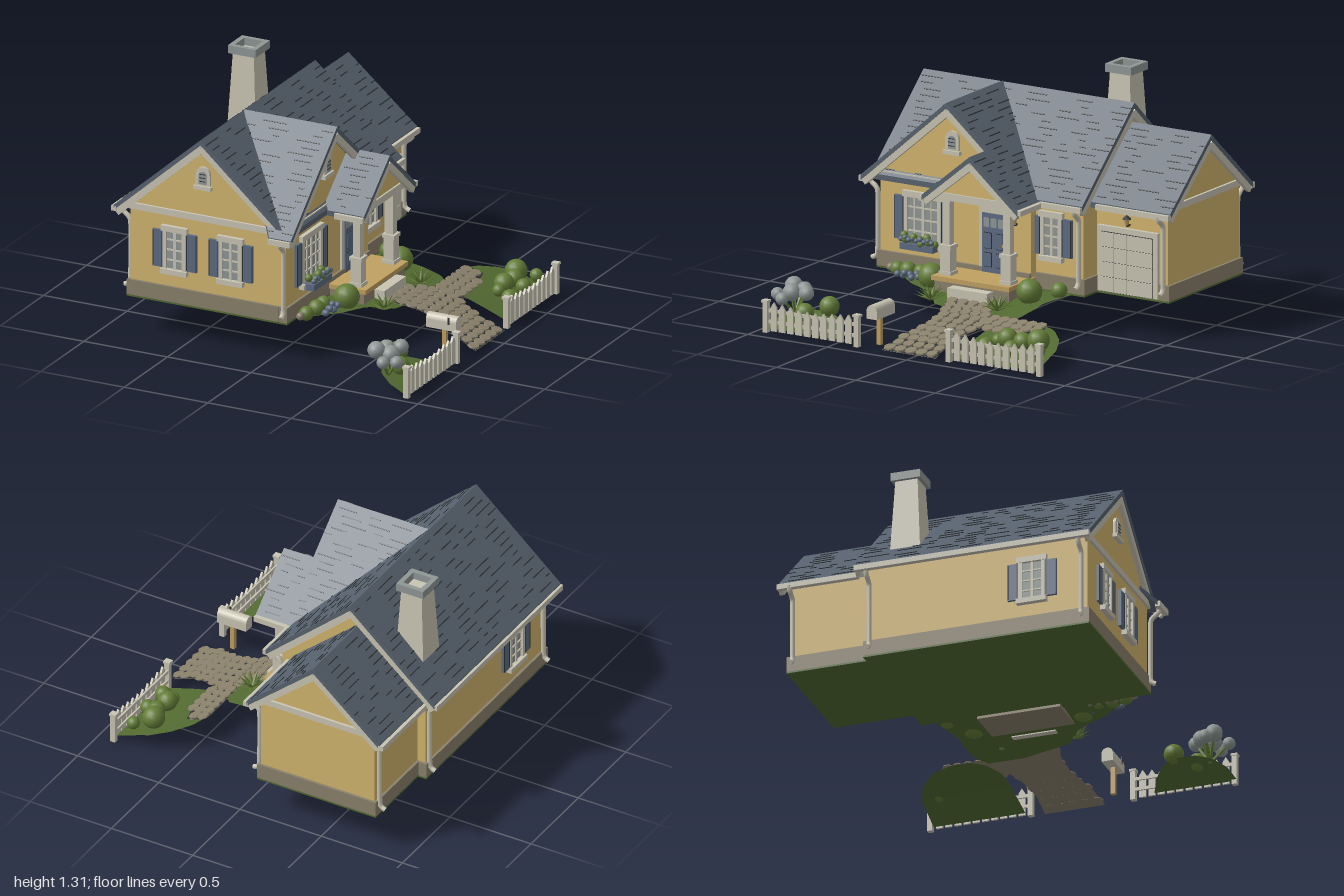
import * as THREE from 'three';
import { mergeGeometries } from 'three/addons/utils/BufferGeometryUtils.js';

const paint = (name, color) => Object.assign(new THREE.MeshStandardMaterial({ color }), { name });
const V = (x, y, z) => new THREE.Vector3(x, y, z);

export function createModel() {
  const root = new THREE.Group();
  root.name = 'cottage';
  const M = {
    wall: paint('yellow siding', 0xd2b56e), trim: paint('cream trim', 0xc9c5b4), roof: paint('slate roof', 0x58636f),
    stone: paint('stone', 0x8a816b), grass: paint('grass', 0x526a31), leaf: paint('leaves', 0x647d38),
    blue: paint('slate blue', 0x5d6c82), dark: paint('dark lines', 0x2e3235), wood: paint('wood', 0xc0a060),
    grey: paint('pale grey', 0x8f9896),
  };
  M.grass.side = M.stone.side = THREE.DoubleSide;
  let seed = 7;
  const rnd = () => (seed = (seed * 16807) % 2147483647) / 2147483647;

  // --- helpers
  const add = (name, geo, mat, parent = root) => {
    const m = new THREE.Mesh(geo, mat);
    m.name = name;
    parent.add(m);
    return m;
  };
  const box = (name, mat, x0, x1, y0, y1, z0, z1, parent) =>
    add(name, new THREE.BoxGeometry(x1 - x0, y1 - y0, z1 - z0)
      .translate((x0 + x1) / 2, (y0 + y1) / 2, (z0 + z1) / 2), mat, parent);
  const beam = (name, mat, a, b, w, h) => {
    const m = add(name, new THREE.BoxGeometry(w, h, a.distanceTo(b)), mat);
    m.position.copy(a).lerp(b, 0.5);
    m.lookAt(b);
    return m;
  };
  const extrude = (pts, depth) => new THREE.ExtrudeGeometry(
    new THREE.Shape(pts.map(p => new THREE.Vector2(...p))), { depth, bevelEnabled: false });
  const ball = (name, mat, r, x, y, z) => {
    const m = add(name, new THREE.SphereGeometry(r, 14, 10), mat);
    m.position.set(x, y, z);
  };

  // Roof plane: ridge A-B, eave D-C, with dark shingle dashes on top
  function roofPlane(name, A, B, C, D, t = 0.03) {
    const n = B.clone().sub(A).cross(D.clone().sub(A)).normalize();
    let q = [A, B, C, D];
    if (n.y < 0) { q = [D, C, B, A]; n.negate(); }
    const low = q.map(p => p.clone().setY(p.y - t));
    const pos = [];
    const quad = (a, b, c, d) => [a, b, c, a, c, d].forEach(p => pos.push(p.x, p.y, p.z));
    quad(...q);
    quad(low[3], low[2], low[1], low[0]);
    for (let i = 0; i < 4; i++) { const j = (i + 1) % 4; quad(q[j], q[i], low[i], low[j]); }
    const g = new THREE.BufferGeometry();
    g.setAttribute('position', new THREE.Float32BufferAttribute(pos, 3));
    g.computeVertexNormals();
    add(name, g, M.roof);
    const dashes = [], rows = Math.round(A.distanceTo(D) / 0.04);
    for (let r = 1; r < rows; r++) {
      const a = A.clone().lerp(D, r / rows), b = B.clone().lerp(C, r / rows), len = a.distanceTo(b);
      for (let s = rnd() * 0.1; s < len - 0.03;) {
        const e = Math.min(len, s + 0.03 + rnd() * 0.12);
        const p = a.clone().lerp(b, (s + e) / 2 / len).addScaledVector(n, 0.001);
        const x = b.clone().sub(a).normalize();
        dashes.push(new THREE.BoxGeometry(e - s, 0.004, 0.006).applyMatrix4(
          new THREE.Matrix4().makeBasis(x, n, x.clone().cross(n)).setPosition(p)));
        s = e + 0.04 + rnd() * 0.2;
      }
    }
    if (dashes.length) add(name + 'Shingles', mergeGeometries(dashes), M.dark);
  }

  // --- walls and foundations
  add('mainWalls', extrude([[-0.85, 0.22], [0.03, 0.22], [0.03, 0.75], [-0.41, 1.14], [-0.85, 0.75]], 1.25)
    .translate(0, 0, -0.5), M.wall);
  add('wingWalls', extrude([[-0.748, 0.22], [0.2, 0.22], [0.2, 0.72], [-0.29, 1.14], [-0.748, 0.74]], 0.38)
    .rotateY(Math.PI / 2).translate(-0.3, 0, 0), M.wall);
  add('garageWalls', extrude([[-0.8, 0.22], [-0.1, 0.22], [-0.1, 0.725], [-0.45, 1.02], [-0.8, 0.725]], 0.5)
    .translate(0, 0, -0.95), M.wall);
  const bases = [[-0.865, 0.045, -0.515, 0.765], [-0.2, 0.095, -0.2, 0.764], [-0.815, -0.085, -0.965, -0.4]];
  for (const [x0, x1, z0, z1] of bases) {
    box('foundation', M.stone, x0, x1, 0.215, 0.3, z0, z1);
    box('lawnUnderHouse', M.grass, x0, x1, 0.205, 0.215, z0, z1);
  }

  // --- roofs
  for (const [x, side] of [[0.11, 'Front'], [-0.93, 'Back']])
    roofPlane('mainRoof' + side, V(-0.41, 1.18, 0.79), V(-0.41, 1.18, -0.54), V(x, 0.72, -0.54), V(x, 0.72, 0.79));
  for (const [x, side] of [[-0.04, 'Front'], [-0.86, 'Back']])
    roofPlane('garageRoof' + side, V(-0.45, 1.06, -0.5), V(-0.45, 1.06, -1), V(x, 0.71, -1), V(x, 0.71, -0.5));
  roofPlane('wingRoofLeft', V(0.15, 1.185, 0.29), V(-0.41, 1.185, 0.29), V(0.02, 0.715, 0.83), V(0.15, 0.715, 0.83));
  roofPlane('wingRoofRight', V(0.15, 1.185, 0.29), V(-0.41, 1.185, 0.29), V(0.11, 0.705, -0.275), V(0.15, 0.705, -0.275));
  roofPlane('porchRoofRight', V(0.15, 0.963, 0.03), V(0.33, 0.963, 0.03), V(0.33, 0.705, -0.275), V(0.15, 0.705, -0.275));
  roofPlane('porchRoofLeft', V(0.08, 0.963, 0.03), V(0.33, 0.963, 0.03), V(0.33, 0.715, 0.33), V(0.08, 0.715, 0.33));

  // --- rake boards, bands, gutters
  const rake = (...p) => {
    for (let i = 0; i < 2; i++) beam('rakeBoard', M.trim, p[i].setY(p[i].y - 0.045), p[i + 1].clone().setY(p[i + 1].y - (i ? 0.045 : 0)), 0.02, 0.04);
  };
  const gable = (axis, at, c, y, h0, h1, e0, e1) => {
    const P = (u, v) => axis === 'z' ? V(u, v, at) : V(at, v, u);
    const peak = P(c, y - 0.05);
    beam('rakeBoard', M.trim, P(h0, e0 - 0.045), peak, 0.025, 0.045);
    beam('rakeBoard', M.trim, P(h1, e1 - 0.045), peak, 0.025, 0.045);
  };
  gable('z', 0.772, -0.41, 1.18, -0.92, 0.02, 0.725, 0.8);
  gable('z', -0.525, -0.41, 1.18, -0.92, 0.1, 0.725, 0.725);
  gable('z', -0.985, -0.45, 1.06, -0.85, -0.05, 0.72, 0.72);
  gable('x', 0.135, 0.29, 1.185, 0.82, -0.26, 0.725, 0.72);
  gable('x', 0.315, 0.03, 0.963, 0.32, -0.265, 0.725, 0.715);
  box('frontBand', M.trim, -0.86, 0.09, 0.705, 0.74, 0.745, 0.765);
  box('wingBand', M.trim, 0.07, 0.095, 0.705, 0.74, -0.2, 0.76);
  box('garageBand', M.trim, -0.81, -0.09, 0.7, 0.735, -0.965, -0.945);
  for (const [x, y, z0, z1] of [[-0.93, 0.705, -0.54, 0.79], [0.115, 0.705, -0.54, -0.28], [-0.865, 0.695, -1, -0.54], [-0.035, 0.695, -1, -0.54]])
    box('gutter', M.trim, x - 0.015, x + 0.015, y - 0.02, y + 0.01, z0, z1);
  for (const [x0, x1, z] of [[0.02, 0.15, 0.83], [0.16, 0.33, 0.335], [0.12, 0.33, -0.28]])
    box('gutter', M.trim, x0, x1, 0.68, 0.71, z - 0.014, z + 0.014);
  for (const [x, z, dx, dz] of [[-0.865, 0.72, -1, 0], [0.075, 0.77, 0, 1], [0.05, -0.48, 1, 0], [-0.08, -0.93, 1, 0],
    [-0.82, -0.93, -1, 0], [-0.865, -0.48, -1, 0]]) {
    const path = [[0.05, 0.69], [0.045, 0.665], [0, 0.62], [0, 0.29], [0.012, 0.26], [0.035, 0.25]].map(([o, y]) => V(x + dx * o, y, z + dz * o));
    add('downspout', new THREE.TubeGeometry(new THREE.CatmullRomCurve3(path, false, 'catmullrom', 0.2), 24, 0.014, 8), M.trim);
  }

  // --- chimney with an open cap
  add('chimney', new THREE.CylinderGeometry(0.063 * Math.SQRT2, 0.09 * Math.SQRT2, 0.51, 4).rotateY(Math.PI / 4).toNonIndexed()
    .translate(-0.69, 1.01, -0.31), M.trim).geometry.computeVertexNormals();
  const sq = r => [[-r, -r], [r, -r], [r, r], [-r, r]].map(p => new THREE.Vector2(...p));
  const cap = new THREE.Shape(sq(0.083));
  cap.holes.push(new THREE.Path(sq(0.055)));
  add('chimneyCap', new THREE.ExtrudeGeometry(cap, { depth: 0.045, bevelEnabled: false }).rotateX(-Math.PI / 2)
    .translate(-0.69, 1.262, -0.31), M.grey);

  // --- windows and vents, built facing +z and then turned
  const place = (name, x, y, z, turn) => {
    const g = new THREE.Group();
    g.name = name;
    g.position.set(x, y, z);
    g.rotation.y = turn;
    root.add(g);
    return g;
  };
  function windowUnit(x, y, z, turn, w, h, cols) {
    const g = place('window', x, y, z, turn), a = w / 2, b = h / 2;
    box('glass', M.grey, -a, a, -b, b, 0, 0.006, g);
    for (const s of [-1, 1]) {
      box('jamb', M.trim, s * a - 0.011, s * a + 0.011, -b, b, 0, 0.02, g);
      const c = s * (a + 0.043);
      box('shutter', M.blue, c - 0.03, c + 0.03, -b + 0.01, b - 0.01, 0, 0.016, g);
      for (const k of [-1, 1]) box('shutterGroove', M.dark, c + k * 0.026 - 0.002, c + k * 0.026 + 0.002, -b + 0.015, b - 0.015, 0, 0.018, g);
    }
    box('lintel', M.trim, -a - 0.02, a + 0.02, b - 0.01, b + 0.022, 0, 0.024, g);
    box('sill', M.trim, -a - 0.02, a + 0.02, -b - 0.02, -b + 0.008, 0, 0.032, g);
    for (let i = 1; i < cols; i++) {
      const m = -a + (w * i) / cols, t = i * 2 === cols ? 0.008 : 0.004;
      box('mullion', M.trim, m - t, m + t, -b, b, 0, 0.014, g);
    }
    for (const k of [-0.25, 0, 0.25]) box('mullion', M.trim, -a, a, k * h - 0.004, k * h + 0.004, 0, 0.013, g);
  }
  const E = Math.PI / 2;
  windowUnit(-0.58, 0.51, 0.75, 0, 0.115, 0.23, 2);
  windowUnit(-0.245, 0.51, 0.75, 0, 0.115, 0.23, 2);
  windowUnit(0.08, 0.5, 0.475, E, 0.21, 0.26, 4);
  windowUnit(0.032, 0.51, -0.305, E, 0.11, 0.23, 2);
  windowUnit(-0.85, 0.51, 0.44, -E, 0.13, 0.23, 2);
  for (const [x, z, turn] of [[-0.41, 0.75, 0], [0.08, 0.29, E]]) {
    const g = place('gableVent', x, 0.9, z, turn);
    const arch = (r, h, d) => new THREE.ExtrudeGeometry(new THREE.Shape().moveTo(-r, 0).lineTo(r, 0).lineTo(r, h)
      .absarc(0, h, r, 0, Math.PI), { depth: d, bevelEnabled: false });
    add('ventFrame', arch(0.042, 0.075, 0.015), M.trim, g);
    add('ventOpening', arch(0.022, 0.05, 0.006).translate(0, 0.02, 0.014), M.grey, g);
    box('ventSill', M.trim, -0.052, 0.052, -0.012, 0.01, 0, 0.025, g);
    for (const y of [0.035, 0.055, 0.075]) box('ventSlat', M.dark, -0.02, 0.02, y, y + 0.004, 0.018, 0.022, g);
  }

  // --- flower box
  box('flowerBox', M.blue, 0.09, 0.16, 0.345, 0.38, 0.37, 0.58);
  for (let i = 0; i < 9; i++) {
    const z = 0.38 + i * 0.024;
    ball('flowerLeaves', M.leaf, 0.022, 0.125 + 0.02 * (i % 2), 0.385 + 0.015 * (i % 3), z);
    ball('flower', M.blue, 0.014, 0.155, 0.4 + 0.01 * (i % 2), z);
  }

  // --- door, lanterns, garage door
  const door = place('frontDoor', 0.08, 0.275, 0.022, E);
  box('doorFrame', M.trim, -0.1, 0.1, 0, 0.36, 0, 0.012, door);
  box('doorLeaf', M.blue, -0.075, 0.075, 0, 0.325, 0, 0.02, door);
  for (const x of [-0.037, 0.037]) for (const [y0, y1] of [[0.03, 0.11], [0.13, 0.22]])
    box('doorPanel', M.dark, x - 0.024, x + 0.024, y0, y1, 0.018, 0.021, door).clone();
  for (const x of [-0.037, 0.037]) for (const [y0, y1] of [[0.034, 0.106], [0.134, 0.216]])
    box('doorPanelFace', M.blue, x - 0.021, x + 0.021, y0, y1, 0.018, 0.024, door);
  for (const x of [-0.045, 0, 0.045]) box('doorLight', M.grey, x - 0.018, x + 0.018, 0.25, 0.3, 0.018, 0.023, door);
  box('doorKnob', M.wood, 0.058, 0.068, 0.15, 0.165, 0.02, 0.032, door);
  for (const [x, y, z] of [[0.105, 0.58, -0.11], [-0.075, 0.62, -0.705]]) {
    const g = place('lantern', x, y, z, 0);
    add('lanternGlass', new THREE.CylinderGeometry(0.018, 0.011, 0.035, 6), M.wood, g);
    add('lanternCap', new THREE.ConeGeometry(0.026, 0.025, 6).translate(0, 0.029, 0), M.dark, g);
    box('lanternArm', M.dark, -0.026, 0, -0.026, -0.015, -0.006, 0.006, g);
  }
  const garage = place('garageDoor', -0.1, 0.22, -0.707, E);
  box('garageFrame', M.trim, -0.19, 0.19, 0, 0.36, 0, 0.022, garage);
  box('garageRecess', M.dark, -0.163, 0.163, 0, 0.33, 0.02, 0.025, garage);
  for (let i = 0; i < 4; i++) for (let j = 0; j < 4; j++)
    box('garagePanel', M.trim, -0.161 + i * 0.081, -0.082 + i * 0.081, 0.002 + j * 0.082, 0.081 + j * 0.082, 0.02, 0.029, garage);

  // --- porch
  box('porchBase', M.stone, 0.04, 0.3, 0.19, 0.25, -0.2, 0.27);
  box('porchFloor', M.wood, 0.04, 0.315, 0.25, 0.275, -0.21, 0.28);
  box('porchStep', M.trim, 0.3, 0.36, 0.18, 0.235, -0.1, 0.15);
  for (const z of [0.22, -0.16]) {
    const at = (name, r, y0, y1) => box(name, M.trim, 0.24 - r, 0.24 + r, y0, y1, z - r, z + r);
    at('columnPedestal', 0.031, 0.275, 0.42);
    at('columnCollar', 0.037, 0.42, 0.44);
    at('columnFoot', 0.037, 0.275, 0.295);
    at('columnShaft', 0.022, 0.44, 0.69);
    at('columnCapital', 0.032, 0.675, 0.7);
    box('porchSideBeam', M.trim, 0.08, 0.3, 0.695, 0.73, z - 0.025, z + 0.025);
  }
  box('porchFrontBeam', M.trim, 0.22, 0.3, 0.695, 0.735, -0.22, 0.28);
  add('porchGable', extrude([[-0.27, 0.725], [0.21, 0.725], [-0.03, 0.925]], 0.05).rotateY(E).translate(0.24, 0, 0), M.wall);

  // --- sloping ground: rows of [x, z from, z to]
  const hill = x => 0.21 - 0.2 * Math.pow(Math.max(0, x - 0.05) / 0.88, 1.7);
  const span = (rows, x) => {
    for (let i = 0; i + 1 < rows.length; i++) {
      const [a, b] = [rows[i], rows[i + 1]], t = (x - a[0]) / (b[0] - a[0]);
      if (t >= 0 && t <= 1) return [a[1] + (b[1] - a[1]) * t, a[2] + (b[2] - a[2]) * t];
    }
    return null;
  };
  function ground(name, mat, rows, lift) {
    const x0 = rows[0][0], x1 = rows[rows.length - 1][0], N = 24;
    const g = new THREE.PlaneGeometry(1, 1, N, 1), p = g.attributes.position;
    for (let i = 0; i < p.count; i++) {
      const x = x0 + (x1 - x0) * Math.min(0.99999, Math.max(0.00001, p.getX(i) + 0.5)), s = span(rows, x);
      p.setXYZ(i, x, hill(x) + lift, p.getY(i) > 0 ? s[0] : s[1]);
    }
    g.computeVertexNormals();
    add(name, g, mat);
  }
  ground('houseLawn', M.grass, [[0, -0.45, 0.72], [0.12, -0.42, 0.62], [0.25, -0.38, 0.45], [0.32, -0.38, 0.28], [0.44, -0.36, 0.18], [0.5, -0.3, -0.1]], 0);
  ground('rightLawn', M.grass, [[0.47, -0.5, -0.4], [0.51, -0.62, -0.32], [0.6, -0.71, -0.26], [0.7, -0.755, -0.25], [0.9, -0.76, -0.24]], 0);
  ground('leftLawn', M.grass, [[0.68, 0.68, 0.8], [0.72, 0.6, 0.88], [0.8, 0.54, 0.94], [0.9, 0.49, 0.96]], 0);
  const paths = [[[0.3, -0.1, 0.14], [0.4, -0.14, 0.13], [0.5, -0.22, 0.1], [0.58, -0.24, 0.09], [0.68, -0.18, 0.11], [0.8, -0.14, 0.17], [0.93, -0.14, 0.2]],
    [[0.47, -0.5, -0.22], [0.51, -0.57, -0.2], [0.58, -0.57, -0.2], [0.62, -0.42, -0.24]]];
  const cobbles = [];
  for (const rows of paths) {
    ground('path', M.stone, rows, 0.002);
    ground('pathJoints', M.dark, rows, 0.004);
    for (let i = 0, x = rows[0][0] + 0.03; x < rows[rows.length - 1][0]; x += 0.052, i++) {
      const [a, b] = span(rows, x), n = Math.max(1, Math.round((b - a) / 0.062)), w = (b - a) / n;
      for (let k = 0; k < n; k++) cobbles.push(new THREE.CylinderGeometry(0.031, 0.034, 0.008, 7).rotateY(rnd() * 6)
        .scale(1, 1, 0.95 + rnd() * 0.15).rotateZ(-0.25)
        .translate(x, hill(x) + 0.008, a + w * (k + 0.5) + (i % 2 - 0.5) * 0.012));
    }
  }
  add('cobbles', mergeGeometries(cobbles), M.stone);

  // --- picket fences
  for (const [z0, z1] of [[0.37, 0.945], [-0.78, -0.21]]) {
    for (const z of [z0, z1]) {
      box('fencePost', M.trim, 0.89, 0.92, 0, 0.165, z - 0.014, z + 0.014);
      box('fencePostCap', M.trim, 0.885, 0.925, 0.165, 0.178, z - 0.019, z + 0.019);
    }
    for (const y of [0.05, 0.11]) box('fenceRail', M.trim, 0.893, 0.903, y, y + 0.018, z0, z1);
    for (let i = 1; i <= 10; i++) {
      const h = 0.135 + 0.025 * Math.abs(i - 5.5) / 4.5;
      add('picket', extrude([[-0.019, 0.012], [0.019, 0.012], [0.019, h - 0.02], [0, h + 0.01], [-0.019, h - 0.02]], 0.012)
        .rotateY(E).translate(0.903, 0, z0 + (z1 - z0) * i / 11), M.trim);
    }
  }

  // --- mailbox
  box('mailboxPost', M.wood, 0.785, 0.81, 0, 0.16, 0.283, 0.308);
  box('mailboxBody', M.trim, 0.7, 0.88, 0.155, 0.2, 0.263, 0.328);
  add('mailboxTop', new THREE.CylinderGeometry(0.0325, 0.0325, 0.18, 16).rotateZ(E).translate(0.79, 0.2, 0.2955), M.trim);
  box('mailboxFlag', M.dark, 0.83, 0.84, 0.19, 0.23, 0.328, 0.332);

  // --- shrubs: [x, height above ground, z, radius]
  for (const [x, y, z, r] of [[0.23, 0.05, -0.285, 0.07], [0.23, 0.05, 0.335, 0.07], [0.71, 0.05, 0.67, 0.055], [0.73, 0.06, -0.66, 0.062],
    [0.76, 0.06, -0.58, 0.05], [0.75, 0.06, -0.48, 0.055], [0.82, 0.06, -0.72, 0.036], [0.83, 0.06, -0.55, 0.042],
    [0.83, 0.05, -0.39, 0.045], [0.75, 0.04, -0.42, 0.035], [0.78, 0.04, 0.78, 0.05], [0.15, 0.03, 0.45, 0.04],
    [0.15, 0.03, 0.53, 0.045], [0.13, 0.02, 0.61, 0.04], [0.1, 0.03, -0.39, 0.045]])
    ball('shrub', M.leaf, r, x, hill(x) + y, z);
  for (const [x, y, z, r] of [[0.72, 0.21, 0.82, 0.045], [0.78, 0.21, 0.77, 0.042], [0.7, 0.22, 0.9, 0.05], [0.77, 0.2, 0.87, 0.05],
    [0.77, 0.18, 0.96, 0.036], [0.68, 0.2, 0.86, 0.04], [0.82, 0.17, 0.9, 0.036]]) {
    add('greyShrub', new THREE.IcosahedronGeometry(r, 1).translate(x, y, z), M.grey);
    beam('shrubStem', M.leaf, V(0.75, hill(0.75), 0.86), V(x, y, z), 0.012, 0.012);
  }
  for (let i = 0; i < 8; i++) ball('blueFlower', M.blue, 0.018, 0.2 + 0.02 * (i % 2), 0.215 + 0.01 * (i % 3), 0.4 + i * 0.022);
  for (const [x, z] of [[0.4, -0.19], [0.4, 0.23]]) for (let i = 0; i < 18; i++)
    add('fernLeaf', new THREE.ConeGeometry(0.016, 0.1, 4).scale(1, 1, 0.4).translate(0, 0.05, 0)
      .rotateX(i % 2 ? 0.75 : 1.2).rotateY(i * 0.7).translate(x, hill(x), z), M.leaf);
  for (let i = 0; i < 6; i++) ball('edgingStone', M.stone, 0.022, 0.12, 0.225, 0.66 - i * 0.05);
  return root;
}
